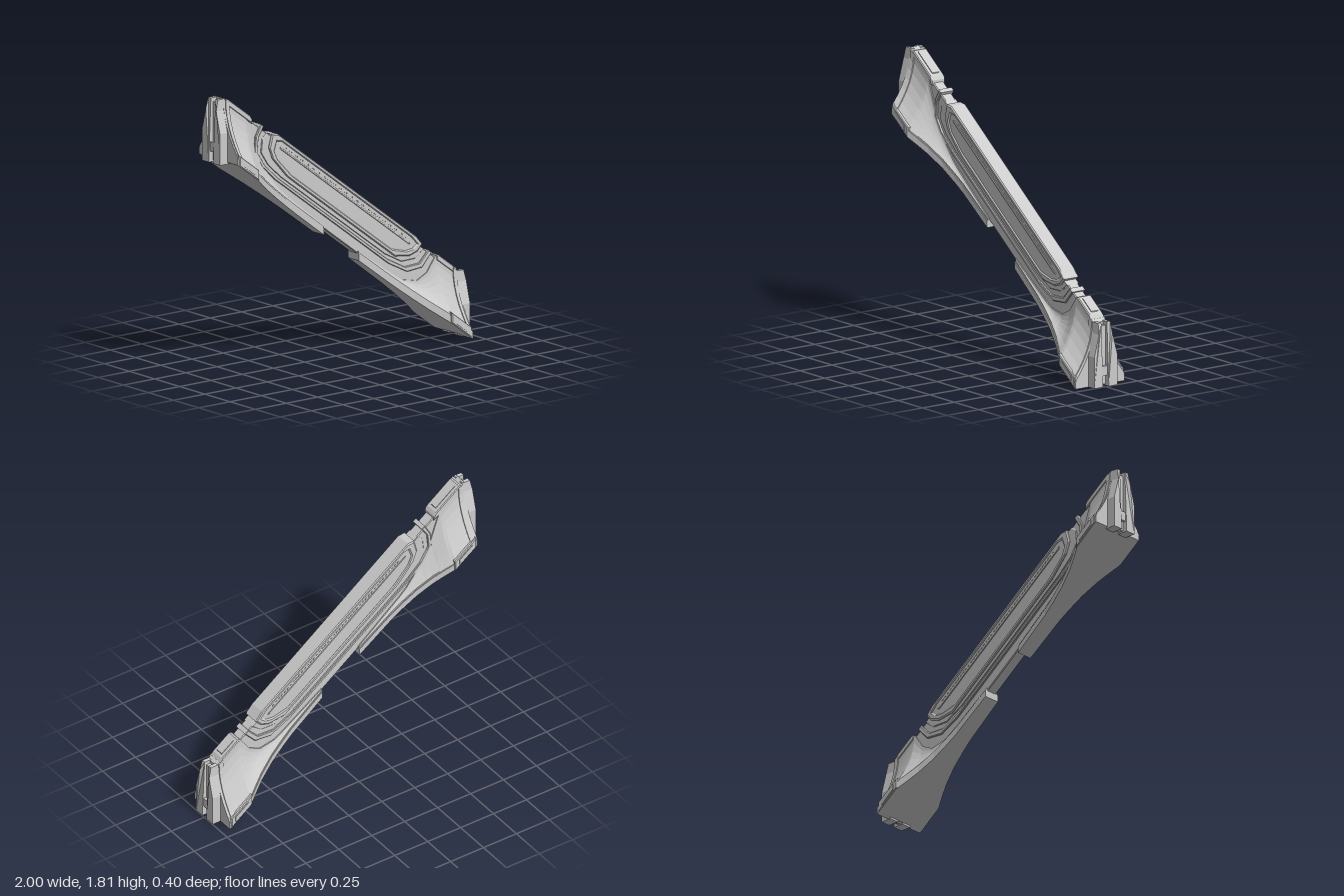
import * as THREE from 'three';
import { mergeGeometries } from 'three/addons/utils/BufferGeometryUtils.js';

const material = new THREE.MeshStandardMaterial({ color: 0xcccccc, flatShading: true, side: THREE.DoubleSide });

// Parts are laid out level, then sheared so the railing follows the slope.
const slope = new THREE.Matrix4().set(1, 0, 0, 0, -0.75, 1, 0, 0.705, 0, 0, 1, 0, 0, 0, 0, 1);

const shapeOf = (pts) => new THREE.Shape(pts.map(([x, y]) => new THREE.Vector2(x, y)));

// Piecewise linear lookup in [[x, value], ...]
function lookup(table, x) {
  for (let i = 1; i < table.length; i++) {
    const [x0, a] = table[i - 1], [x1, b] = table[i];
    if (x <= x1) return a + (b - a) * Math.max(0, (x - x0) / (x1 - x0));
  }
  return table[table.length - 1][1];
}

// Outline extruded symmetrically about z = 0 with chamfered edges
function plate(pts, half, bevel = 0, hole) {
  const shape = shapeOf(pts);
  if (hole) shape.holes.push(shapeOf(hole));
  const g = new THREE.ExtrudeGeometry(shape, {
    depth: 2 * (half - bevel), bevelEnabled: bevel > 0, bevelThickness: bevel,
    bevelSize: bevel, bevelOffset: -bevel, bevelSegments: 1,
  });
  return g.translate(0, 0, bevel - half);
}

function box(x0, x1, y0, y1, z0, z1) {
  return new THREE.BoxGeometry(x1 - x0, y1 - y0, z1 - z0)
    .translate((x0 + x1) / 2, (y0 + y1) / 2, (z0 + z1) / 2);
}

// Closed body through rings of [z, y] half-profiles, mirrored in z
function loft(sections) {
  const pos = [], idx = [];
  const rings = sections.map(({ x, half }) =>
    [...half, ...half.map(([z, y]) => [-z, y]).reverse()].map(([z, y]) => [x, y, z]));
  const n = rings[0].length, last = rings.length - 1;
  rings.forEach((r) => r.forEach((p) => pos.push(...p)));
  for (let i = 0; i < last; i++) for (let j = 0; j < n; j++) {
    const a = i * n + j, d = i * n + (j + 1) % n;
    idx.push(a, a + n, d + n, a, d + n, d);
  }
  [0, last].forEach((i) => {
    const c = pos.length / 3;
    pos.push(rings[i][0][0], 0.04, 0);
    for (let j = 0; j < n; j++) {
      const a = i * n + j, b = i * n + (j + 1) % n;
      idx.push(c, ...(i ? [b, a] : [a, b]));
    }
  });
  const g = new THREE.BufferGeometry();
  g.setAttribute('position', new THREE.Float32BufferAttribute(pos, 3));
  g.setIndex(idx);
  g.computeVertexNormals();
  return g;
}

// Half width at the foot and height of the flared ends, by distance from the middle
const flareWidth = [[0.14, 0.05], [0.38, 0.058], [0.45, 0.067], [0.55, 0.086], [0.65, 0.12], [0.72, 0.155], [0.78, 0.188], [0.95, 0.188]];
const flareHeight = [[0.14, 0.062], [0.49, 0.085], [0.61, 0.15], [0.69, 0.25], [0.76, 0.4], [0.95, 0.405]];

// Lipped foot, then a concave sweep up to the thin top
function flareSection(x, grow = 0, lip = 0.006) {
  const w = lookup(flareWidth, x) + grow, h = lookup(flareHeight, x);
  const half = [[w + lip, 0], [w + lip, 0.045], [w, 0.045], [w, 0.055]];
  const top = 0.047 + grow;
  for (let k = 1; k <= 6; k++) {
    const s = k / 6;
    half.push([top + (w - top) * (1 - s) ** 2, 0.055 + (h - 0.055) * s]);
  }
  return half;
}

function flare(side, xs, grow, lip) {
  const sections = xs.map((x) => ({ x: x * side, half: flareSection(x, grow, lip) }));
  return loft(side > 0 ? sections : sections.reverse());
}

// One half of an end post: tapered in width, with its outer top edge leaning in
function postHalf(side, zSide) {
  const pts = [[0.022, 0], [0.09, 0], [0.09, 0.2], [0.052, 0.34], [0.048, 0.41], [0.022, 0.41]];
  const g = new THREE.ExtrudeGeometry(shapeOf(pts.map(([z, y]) => [-z * zSide, y])), { depth: 0.075, bevelEnabled: false });
  g.rotateY(Math.PI / 2).translate(side > 0 ? 0.925 : -1, 0, 0);
  const p = g.attributes.position;
  for (let i = 0; i < p.count; i++) {
    if (Math.abs(p.getX(i)) > 0.99 && p.getY(i) > 0.36) p.setX(i, side * 0.983);
  }
  g.computeVertexNormals();
  return g;
}

export function createModel() {
  const group = new THREE.Group();
  const add = (name, g, sheared = true) => {
    if (sheared) g.applyMatrix4(slope);
    const m = new THREE.Mesh(g, material);
    m.name = name;
    group.add(m);
  };

  add('corePlate', plate([[-0.93, 0.045], [0.93, 0.045], [0.93, 0.388], [-0.93, 0.388]], 0.04, 0.006));

  // Stepped backing and raised band that curve around the panel
  const band = [[-0.64, 0.415], [-0.682, 0.31], [-0.692, 0.2], [-0.63, 0.145], [-0.52, 0.125],
    [0.385, 0.125], [0.53, 0.16], [0.65, 0.26], [0.725, 0.4]];
  const inward = (s, t) => ([x, y]) => [x * s, 0.42 + (y - 0.42) * t];
  add('band', plate([...band, ...band.map(inward(0.965, 0.92)).reverse()], 0.052, 0.004));
  add('panelBacking', plate(band.map(inward(0.92, 0.85)).map(([x, y]) => [x, Math.min(y, 0.388)]), 0.046, 0.004));

  // Central panel: raised rim, sunken floor, slot bar and a row of studs
  const rim = [[-0.51, 0.43], [-0.556, 0.4], [-0.578, 0.3], [-0.55, 0.245], [-0.43, 0.2],
    [0.43, 0.2], [0.55, 0.275], [0.61, 0.34], [0.648, 0.41], [0.6, 0.43]];
  const inset = rim.map(([x, y]) => [0.03 + (x - 0.03) * 0.93, 0.32 + (y - 0.32) * 0.74]);
  add('panelRim', plate(rim, 0.058, 0.007, inset.slice().reverse()));
  add('panelFloor', plate(rim.map(([x, y]) => [x * 0.97, 0.32 + (y - 0.32) * 0.85]), 0.05));
  add('panelSlotBar', plate([[-0.49, 0.345], [0.54, 0.345], [0.555, 0.358], [-0.49, 0.358]], 0.056, 0.002));
  const studs = [];
  for (let i = 0; i < 44; i++) {
    const x = -0.44 + i * 0.022;
    studs.push(box(x, x + 0.011, 0.374, 0.381, -0.053, 0.053));
  }
  add('panelStuds', mergeGeometries(studs));

  for (const s of [1, -1]) {
    const end = s > 0 ? 'left' : 'right';
    const span = (a, b) => (s > 0 ? [a, b] : [-b, -a]);

    // Flared end with its rim
    add(end + 'Flare', flare(s, [0.14, 0.3, 0.38, 0.45, 0.5, 0.55, 0.61, 0.65, 0.69, 0.72, 0.76, 0.78, 0.86, 0.94]));
    add(end + 'FlareRim', flare(s, [0.895, 0.925], 0.007, 0));

    // Top cap with a raised insert
    const [c0, c1] = span(s > 0 ? 0.765 : 0.71, 0.915);
    add(end + 'TopCap', plate([[c0, 0.375], [c1, 0.375], [c1, 0.405], [c1 - 0.015, 0.418], [c0 + 0.015, 0.418], [c0, 0.405]], 0.053, 0.006));
    add(end + 'TopCapInsert', box(c0 + 0.03, c1 - 0.03, 0.4, 0.424, -0.025, 0.025));

    // Corner foot blocks with a raised face plate
    const [f0, f1] = span(0.77, 0.93);
    add(end + 'FootBlock', plate([[f0, 0.002], [f1, 0.002], [f1, 0.07], [f0, 0.07]], 0.197, 0.006));
    add(end + 'FootFace', box(f0 + 0.03, f1 - 0.03, 0.018, 0.052, -0.201, 0.201));

    // Grooved end post
    const baseY = s > 0 ? 0 : 1.398;
    const post = mergeGeometries([postHalf(s, 1), postHalf(s, -1)]);
    add(end + 'Post', post.translate(0, baseY, 0), false);
    const [g0, g1] = span(0.925, 0.968);
    add(end + 'PostGroove', box(g0, g1, baseY + 0.01, baseY + 0.385, -0.024, 0.024), false);
    const [l0, l1] = span(0.95, 0.99);
    add(end + 'PostLatch', box(l0, l1, baseY + 0.07, baseY + 0.13, -0.022, 0.022), false);
  }
  return group;
}
